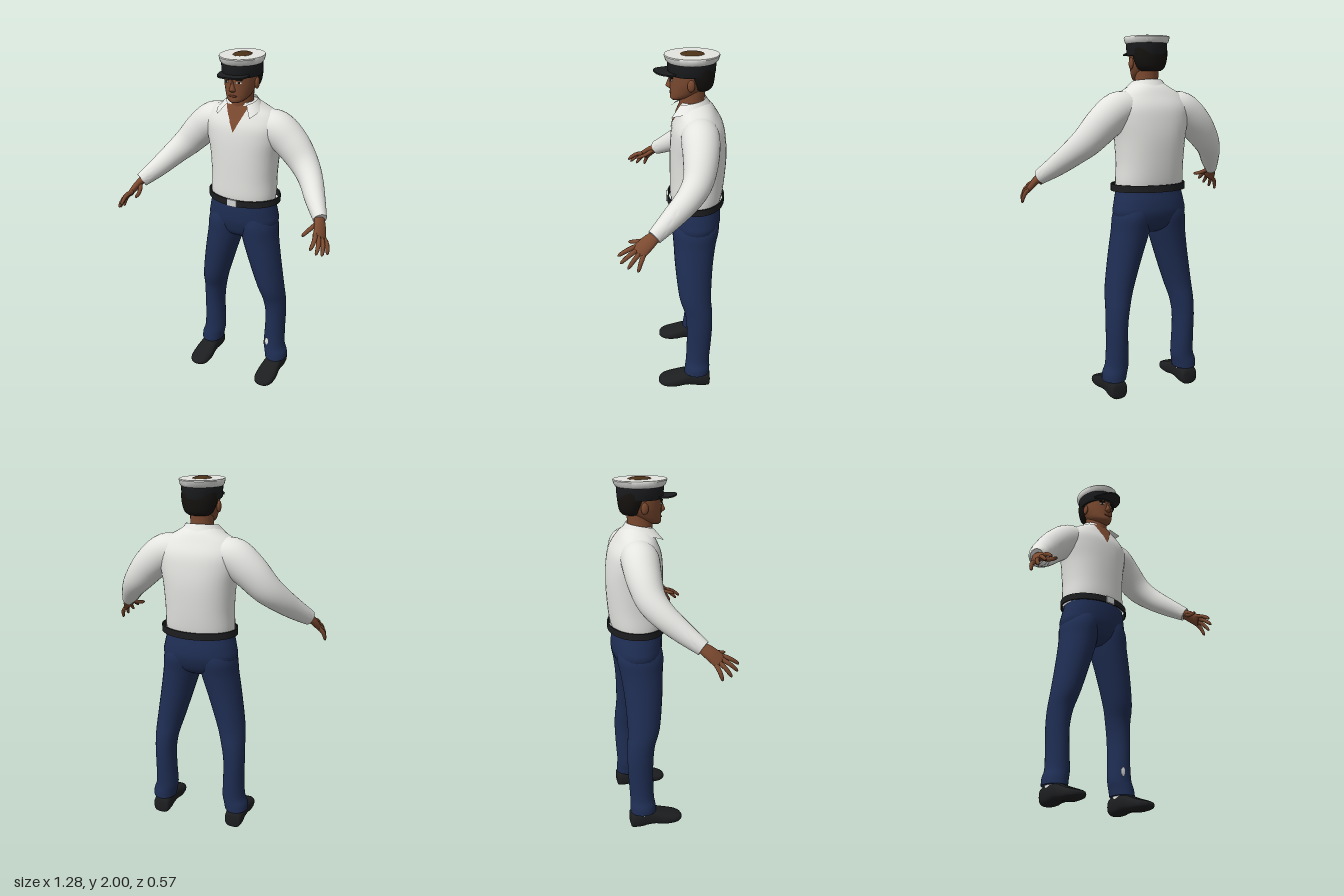
import * as THREE from 'three';
import { toCreasedNormals } from 'three/addons/utils/BufferGeometryUtils.js';

const mat = (name, color) => Object.assign(new THREE.MeshStandardMaterial({ color }), { name });
const V3 = (x, y, z) => new THREE.Vector3(x, y, z);

// Adds smooth in-between rows to a table of section values
function dense(rows, steps = 5) {
  const out = [], at = (i) => rows[Math.max(0, Math.min(rows.length - 1, i))];
  for (let i = 0; i < rows.length - 1; i++) for (let s = 0; s < steps; s++) {
    const t = s / steps;
    out.push(rows[i].map((b, k) => {
      const a = at(i - 1)[k], c = at(i + 1)[k], d = at(i + 2)[k];
      return b + 0.5 * t * (c - a + t * (2 * a - 5 * b + 4 * c - d + t * (3 * (b - c) + d - a)));
    }));
  }
  out.push(rows[rows.length - 1]);
  return out;
}

// Skins rings {c, a, b}; a x b points along the loft
function loft(rings, { seg = 28, power = 1, caps = true, crease = 0.9 } = {}) {
  const pos = [], idx = [], pw = (v) => Math.sign(v) * Math.abs(v) ** power;
  for (const { c, a, b } of rings) for (let j = 0; j < seg; j++) {
    const t = (j / seg) * Math.PI * 2;
    const p = c.clone().addScaledVector(a, pw(Math.cos(t))).addScaledVector(b, pw(Math.sin(t)));
    pos.push(p.x, p.y, p.z);
  }
  const n = rings.length, end = n * seg;
  for (let i = 0; i < n - 1; i++) for (let j = 0; j < seg; j++) {
    const k = (j + 1) % seg, p = i * seg, q = p + seg;
    idx.push(p + j, p + k, q + j, p + k, q + k, q + j);
  }
  if (caps) {
    pos.push(...rings[0].c.toArray(), ...rings[n - 1].c.toArray());
    for (let j = 0; j < seg; j++) {
      const k = (j + 1) % seg, q = end - seg;
      idx.push(end, k, j, end + 1, q + j, q + k);
    }
  }
  return surface(pos, idx, crease);
}

function surface(pos, idx, crease = 0.9) {
  const g = new THREE.BufferGeometry();
  g.setAttribute('position', new THREE.Float32BufferAttribute(pos, 3));
  g.setIndex(idx);
  return toCreasedNormals(g, crease);
}

// Upright loft from rows of [y, x, z, halfWidth, halfDepth]
const upright = (rows, o) => loft(rows.map(([y, x, z, rx, rz]) =>
  ({ c: V3(x, y, z), a: V3(rx, 0, 0), b: V3(0, 0, -rz) })), o);

// Limb along a path from rows of [x, y, z, radiusAlongHint, radiusAcross]
function limb(rows, hint, o) {
  const pts = rows.map((r) => V3(r[0], r[1], r[2]));
  return loft(rows.map((r, i) => {
    const d = pts[Math.min(i + 1, pts.length - 1)].clone().sub(pts[Math.max(i - 1, 0)]).normalize();
    const a = hint.clone().addScaledVector(d, -hint.dot(d)).normalize();
    const b = d.clone().cross(a);
    return { c: pts[i], a: a.multiplyScalar(r[3]), b: b.multiplyScalar(r[4]) };
  }), o);
}

// Mirrors a non-indexed geometry across x and keeps its faces outward
function mirrored(geo) {
  const g = (geo.index ? geo.toNonIndexed() : geo.clone()).scale(-1, 1, 1);
  for (const at of Object.values(g.attributes)) {
    const s = at.itemSize;
    for (let i = 0; i < at.count; i += 3) for (let k = 0; k < s; k++) {
      const u = (i + 1) * s + k, w = (i + 2) * s + k;
      [at.array[u], at.array[w]] = [at.array[w], at.array[u]];
    }
  }
  return g;
}

export function createModel() {
  const shirt = mat('shirtWhite', 0xe4e4e1), navy = mat('trouserNavy', 0x1f2e54);
  const skin = mat('skin', 0x7c4a30), black = mat('leatherBlack', 0x1d1e20);
  const hair = mat('hairBlack', 0x15120f), brown = mat('crownBrown', 0x4a3018);
  const silver = mat('buckleSilver', 0xd2d4d4), lip = mat('lips', 0x623626);
  shirt.side = THREE.DoubleSide;
  const root = new THREE.Group();
  const add = (name, geo, m) => {
    const mesh = new THREE.Mesh(geo, m);
    mesh.name = name;
    root.add(mesh);
    return mesh;
  };
  const pair = (name, geo, m) => { add(name + 'Left', geo, m); add(name + 'Right', mirrored(geo), m); };
  const ball = (x, y, z, rx, ry, rz, s = 14) => new THREE.SphereGeometry(1, s, s).scale(rx, ry, rz).translate(x, y, z);

  // Shirt body
  const P = 0.88;
  const torso = dense([[1.17, 0, -0.12, 0.188, 0.135], [1.22, 0, -0.122, 0.192, 0.145], [1.32, 0, -0.127, 0.19, 0.151],
    [1.45, 0, -0.13, 0.2, 0.154], [1.55, 0, -0.128, 0.22, 0.148], [1.62, 0, -0.125, 0.225, 0.135],
    [1.68, 0, -0.12, 0.19, 0.106], [1.72, 0, -0.115, 0.125, 0.085], [1.745, 0, -0.105, 0.085, 0.068]]);
  add('shirtBody', upright(torso, { power: P, seg: 36 }), shirt);

  // Open neckline, following the chest
  const vPos = [], vIdx = [], R = 8, C = 8;
  for (let i = 0; i <= R; i++) for (let j = 0; j <= C; j++) {
    const y = 1.59 + 0.14 * i / R, x = 0.068 * (i / R) * (2 * j / C - 1);
    const [, , cz, rx, rz] = torso.find((r) => r[0] >= y);
    vPos.push(x, y, cz + rz * (1 - Math.abs(x / rx) ** (2 / P)) ** (P / 2) + 0.006);
    if (i < R && j < C) {
      const k = i * (C + 1) + j;
      vIdx.push(k, k + 1, k + C + 2, k, k + C + 2, k + C + 1);
    }
  }
  add('openNeckline', surface(vPos, vIdx), skin);

  // Folded collar: a strip round the neck with two points at the front
  const cPos = [], cIdx = [], N = 28;
  for (let i = 0; i <= N; i++) {
    const t = 2 * i / N - 1, a = t * 2.45, s = Math.sin(a), c = Math.cos(a);
    cPos.push(0.088 * s, 1.765 - 0.028 * t * t, -0.09 - 0.078 * c);
    cPos.push((0.122 + 0.03 * t ** 6) * s, 1.715 - 0.035 * t ** 4, -0.09 - 0.11 * c + 0.022 * t * t);
    if (i < N) cIdx.push(2 * i, 2 * i + 2, 2 * i + 1, 2 * i + 1, 2 * i + 2, 2 * i + 3);
  }
  add('collar', surface(cPos, cIdx), shirt);

  // Sleeves
  pair('sleeve', limb(dense([[0.1, 1.615, -0.13, 0.08, 0.09], [0.19, 1.6, -0.132, 0.1, 0.1], [0.28, 1.53, -0.132, 0.096, 0.092],
    [0.36, 1.445, -0.115, 0.083, 0.078], [0.425, 1.378, -0.065, 0.07, 0.066], [0.49, 1.305, 0.02, 0.057, 0.054],
    [0.555, 1.24, 0.105, 0.042, 0.036]]), V3(0, 1, 0)), shirt);

  // Hands
  const spread = V3(0.5, -0.5, -0.7);
  pair('palm', limb(dense([[0.545, 1.25, 0.09, 0.028, 0.022], [0.568, 1.218, 0.135, 0.038, 0.02],
    [0.586, 1.18, 0.178, 0.041, 0.016], [0.59, 1.171, 0.188, 0.034, 0.011]], 3), spread, { seg: 16 }), skin);
  [['index', 0.568, 1.197, 0.198, 0.577, 1.148, 0.285], ['middle', 0.581, 1.187, 0.188, 0.605, 1.122, 0.272],
    ['ring', 0.592, 1.176, 0.174, 0.624, 1.102, 0.235], ['little', 0.602, 1.165, 0.158, 0.635, 1.09, 0.185],
    ['thumb', 0.55, 1.225, 0.125, 0.511, 1.19, 0.235]].forEach(([name, x, y, z, u, v, w]) => {
    const lift = name === 'thumb' ? -0.008 : 0.008;
    const at = (t, r) => [x + (u - x) * t + lift * Math.sin(Math.PI * t), y + (v - y) * t + lift * Math.sin(Math.PI * t), z + (w - z) * t, r, r];
    pair(name + 'Finger', limb([at(-0.1, 0.012), at(0.25, 0.0125), at(0.5, 0.0115), at(0.75, 0.0105), at(0.93, 0.008), at(1, 0.003)],
      spread, { seg: 8 }), skin);
  });

  // Trousers
  add('trouserHips', upright(dense([[0.935, 0, -0.12, 0.07, 0.06], [0.97, 0, -0.122, 0.17, 0.108], [1.04, 0, -0.124, 0.211, 0.136],
    [1.1, 0, -0.121, 0.204, 0.14], [1.16, 0, -0.116, 0.19, 0.135], [1.19, 0, -0.116, 0.185, 0.132]]), { power: 0.9 }), navy);
  pair('trouserLeg', upright(dense([[0.1, 0.229, -0.136, 0.068, 0.076], [0.14, 0.224, -0.138, 0.07, 0.074], [0.19, 0.212, -0.14, 0.066, 0.07],
    [0.3, 0.212, -0.145, 0.061, 0.072], [0.42, 0.213, -0.147, 0.061, 0.075], [0.52, 0.204, -0.14, 0.068, 0.08], [0.62, 0.186, -0.12, 0.079, 0.092],
    [0.8, 0.145, -0.112, 0.095, 0.107], [0.94, 0.113, -0.115, 0.106, 0.12], [1.03, 0.101, -0.12, 0.108, 0.131], [1.1, 0.085, -0.12, 0.09, 0.12]], 4)), navy);

  // Frayed patch and socks
  add('anklePatch', ball(0.19, 0.225, -0.076, 0.016, 0.026, 0.004), shirt);
  pair('sock', new THREE.CylinderGeometry(0.05, 0.05, 0.08, 16).translate(0.228, 0.1, -0.14), shirt);

  // Shoes: rows of [z, halfWidth, bottom, top], heel to toe
  pair('shoe', loft(dense([[-0.215, 0.035, 0.02, 0.07], [-0.205, 0.048, 0.002, 0.1], [-0.15, 0.053, 0, 0.112], [-0.12, 0.052, 0.006, 0.11],
    [-0.07, 0.055, 0.01, 0.1], [-0.01, 0.062, 0.002, 0.078], [0.05, 0.058, 0.005, 0.058], [0.083, 0.04, 0.012, 0.045],
    [0.096, 0.016, 0.02, 0.034]], 3).map(([z, w, lo, hi]) =>
    ({ c: V3(0.228, (lo + hi) / 2, z), a: V3(w, 0, 0), b: V3(0, (hi - lo) / 2, 0) })), { power: 0.7, seg: 24 }), black);

  // Belt, standing clear of the waist, with its buckle
  const ring = (y, rx, rz) => [y, 0.005, -0.12, rx, rz];
  add('belt', upright([ring(1.167, 0.216, 0.16), ring(1.205, 0.216, 0.16), ring(1.205, 0.208, 0.152), ring(1.167, 0.208, 0.152),
    ring(1.167, 0.216, 0.16)], { caps: false, seg: 40 }), black);
  add('buckle', new THREE.BoxGeometry(0.058, 0.04, 0.009).translate(0.005, 1.186, 0.04), silver);

  // Neck and head
  add('neck', upright(dense([[1.66, 0, -0.1, 0.075, 0.07], [1.73, 0, -0.092, 0.063, 0.067], [1.82, 0, -0.095, 0.062, 0.07]])), skin);
  add('head', upright(dense([[1.752, 0, -0.008, 0.022, 0.02], [1.762, 0, -0.022, 0.043, 0.043], [1.782, 0, -0.046, 0.063, 0.067],
    [1.815, 0, -0.068, 0.077, 0.091], [1.85, 0, -0.08, 0.086, 0.104], [1.9, 0, -0.085, 0.089, 0.112], [1.95, 0, -0.09, 0.085, 0.11]])), skin);
  add('nose', upright(dense([[1.812, 0, 0.018, 0.01, 0.008], [1.82, 0, 0.02, 0.019, 0.02], [1.83, 0, 0.022, 0.016, 0.022],
    [1.85, 0, 0.018, 0.01, 0.018], [1.88, 0, 0.016, 0.008, 0.01]], 3), { seg: 14 }), skin);
  add('mouth', ball(0, 1.791, 0.02, 0.025, 0.006, 0.005), lip);
  pair('ear', ball(0.091, 1.848, -0.085, 0.011, 0.031, 0.02), skin);
  const face = (w, h, d, x, y, z) => new THREE.BoxGeometry(w, h, d).rotateY(0.4).translate(x, y, z);
  pair('eye', face(0.026, 0.009, 0.006, 0.036, 1.864, 0.0155), shirt);
  pair('pupil', face(0.013, 0.01, 0.006, 0.036, 1.864, 0.017), hair);
  pair('brow', face(0.036, 0.008, 0.008, 0.037, 1.879, 0.017), hair);
  add('hair', upright(dense([[1.808, 0, -0.14, 0.055, 0.045], [1.825, 0, -0.14, 0.076, 0.06], [1.86, 0, -0.135, 0.091, 0.073],
    [1.9, 0, -0.128, 0.098, 0.083], [1.94, 0, -0.12, 0.098, 0.085]])), hair);

  // Peaked cap
  const cap = (y, rx, rz) => [y, 0, -0.09, rx, rz];
  add('capBand', upright([cap(1.888, 0.1, 0.118), cap(1.895, 0.105, 0.123), cap(1.956, 0.107, 0.127)], { seg: 40 }), black);
  add('capCrown', upright([cap(1.952, 0.106, 0.126), cap(1.96, 0.113, 0.136), cap(1.984, 0.118, 0.144), cap(1.989, 0.116, 0.142)],
    { seg: 40, crease: 0.6 }), shirt);
  add('crownPatch', ball(0, 1.985, -0.092, 0.05, 0.015, 0.066, 20), brown);

  // Visor, bent down at the sides and front
  const half = new THREE.Shape();
  half.absellipse(0, 0, 0.086, 0.115, 0, Math.PI, false);
  const visor = new THREE.ExtrudeGeometry(half, { depth: 0.008, bevelEnabled: false, curveSegments: 28 }).rotateX(Math.PI / 2);
  const vp = visor.attributes.position;
  for (let i = 0; i < vp.count; i++) vp.setY(i, vp.getY(i) - 2.8 * vp.getX(i) ** 2 - 0.16 * vp.getZ(i));
  visor.translate(0, 1.927, -0.008);
  add('capVisor', toCreasedNormals(visor, 0.6), black);

  return root;
}
